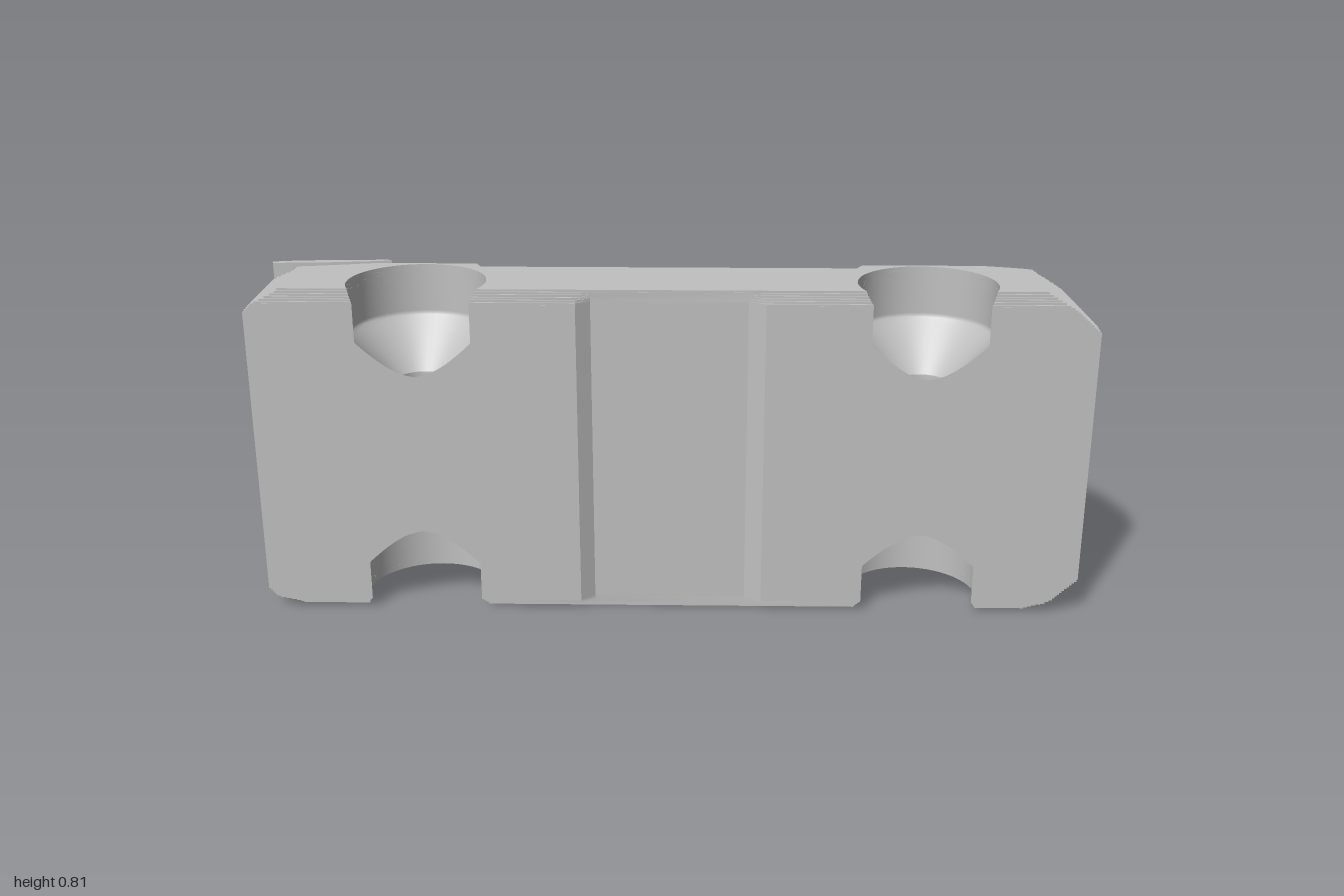
import * as THREE from 'three';
import { toCreasedNormals } from 'three/addons/utils/BufferGeometryUtils.js';

// The car lies on its side: length along x (nose +x), roof towards -z, width along y.
const HALF = 0.403, BASE = 0.193, WELL_X = 0.6, WELL_Z = 0.1;

const lerpTable = (t, table) => {
  if (t <= table[0][0]) return table[0][1];
  for (let i = 1; i < table.length; i++) {
    const [a, va] = table[i - 1], [b, vb] = table[i];
    if (t <= b) return va + (vb - va) * (t - a) / (b - a);
  }
  return table[table.length - 1][1];
};

// Side profile (x, height), from the tail's lower edge over the roof to the nose's lower edge
const sections = [
  [[-0.99, -BASE], [-0.985, -0.14], [-1, -0.07], [-1, 0]],
  [[-1, 0], [-0.975, 0.03], [-0.9, 0.037], [-0.8, 0.056], [-0.705, 0.078], [-0.61, 0.096], [-0.545, 0.089], [-0.48, 0.07]],
  [[-0.48, 0.07], [-0.395, 0.092], [-0.26, 0.157], [-0.155, 0.185], [0, 0.193], [0.14, 0.187], [0.27, 0.148], [0.38, 0.098], [0.46, 0.068]],
  [[0.46, 0.068], [0.54, 0.089], [0.6, 0.096], [0.685, 0.086], [0.78, 0.066], [0.89, 0.032], [0.95, -0.02], [0.985, -0.07], [1, -0.115]],
  [[1, -0.115], [0.994, -0.145], [0.99, -BASE]],
];
const profile = [];
sections.forEach((s, i) => {
  const pts = new THREE.SplineCurve(s.map(p => new THREE.Vector2(...p))).getPoints([5, 24, 32, 28, 4][i]);
  profile.push(...(i ? pts.slice(1) : pts));
});

// Limits of the body at distance a from the centre plane
const noseLimit = a => lerpTable(a, [[0.303, 1], [0.367, 0.93], [0.394, 0.88], [HALF, 0.865]]);
const tailLimit = a => -lerpTable(a, [[0.34, 1], [0.372, 0.97], [0.394, 0.92], [HALF, 0.91]]);
const bottom = a => -BASE + Math.max(0, a - 0.375);
const wellRadius = w => Math.max(0.06, 0.164 - Math.max(0, 0.28 - Math.abs(w)) * 0.87);
function cap(x, a) {
  if (x > -0.48 && x < 0.46) return 0.443 - a;
  const floor = x > 0
    ? lerpTable(x, [[0.46, 0.068], [0.99, -0.09]])
    : lerpTable(x, [[-0.97, 0.03], [-0.48, 0.07]]);
  return Math.min(0.473 - a, Math.max(floor, a - 0.125));
}

// One cross-section at width w, shaped as for distance a
function section(w, a) {
  const y = w + HALF, low = bottom(a), at = (x, v) => new THREE.Vector3(x, y, -v);
  const top = profile.map(p => at(
    THREE.MathUtils.clamp(p.x, tailLimit(a), noseLimit(a)),
    Math.max(low, Math.min(p.y, cap(p.x, a)))));
  const r = wellRadius(w), d = -low - WELL_Z;
  const h = r > d ? Math.sqrt(r * r - d * d) : 0;
  const sweep = r > d ? Math.acos(-d / r) : Math.PI;
  const wells = [-WELL_X, WELL_X].map(cx => Array.from({ length: 41 }, (_, i) => {
    const t = sweep * (i / 20 - 1);
    return at(cx + r * Math.sin(t), -WELL_Z + r * Math.cos(t));
  }));
  const dip = Math.max(low, -0.168);
  const bottoms = [
    [top[0], at(-WELL_X - h, low)],
    [at(-WELL_X + h, low), at(-0.22, low), at(-0.187, dip), at(0.18, dip), at(0.22, low), at(WELL_X - h, low)],
    [at(WELL_X + h, low), top[top.length - 1]],
  ];
  return { top, wells, bottoms };
}

function makeGeometry(triangles) {
  const pos = [], n = new THREE.Vector3(), e = new THREE.Vector3();
  for (const [a, b, c] of triangles) {
    n.subVectors(b, a).cross(e.subVectors(c, a));
    if (n.length() > 1e-9) for (const p of [a, b, c]) pos.push(p.x, p.y, p.z);
  }
  const g = new THREE.BufferGeometry();
  g.setAttribute('position', new THREE.Float32BufferAttribute(pos, 3));
  return toCreasedNormals(g, 0.5);
}

// Skin between successive rows of points
function skin(rows, flip = false) {
  const tris = [];
  for (let i = 0; i + 1 < rows.length; i++) for (let j = 0; j + 1 < rows[i].length; j++) {
    const a = rows[i][j], b = rows[i][j + 1], c = rows[i + 1][j + 1], d = rows[i + 1][j];
    tris.push(...(flip ? [[a, c, b], [a, d, c]] : [[a, b, c], [a, c, d]]));
  }
  return tris;
}

// Flat side face closing the body at one end of its width
function sideFace(s, side) {
  const outline = [...s.top];
  for (const run of [s.bottoms[2], s.wells[1], s.bottoms[1], s.wells[0], s.bottoms[0]]) outline.push(...[...run].reverse());
  const pts = outline.filter((p, i) => p.distanceTo(outline[(i + 1) % outline.length]) > 1e-5);
  const flat = pts.map(p => new THREE.Vector2(p.x, p.z));
  return THREE.ShapeUtils.triangulateShape(flat, []).map(([i, j, k]) => {
    const [a, b, c] = [pts[i], pts[j], pts[k]];
    const up = (b.z - a.z) * (c.x - a.x) - (b.x - a.x) * (c.z - a.z);
    return up * side > 0 ? [a, b, c] : [a, c, b];
  });
}

// Slab with a side outline (x, height), spanning width y0 to y1
function slab(points, y0, y1) {
  const shape = new THREE.Shape(points.map(p => new THREE.Vector2(...p)));
  const g = new THREE.ExtrudeGeometry(shape, { depth: y1 - y0, bevelEnabled: false });
  g.rotateX(-Math.PI / 2).translate(0, y0, 0);
  return g;
}

export function createModel() {
  const model = new THREE.Group();
  model.name = 'carBody';
  const grey = new THREE.MeshStandardMaterial({ color: 0xc0c0c0 });
  grey.name = 'bodyGrey';
  const add = (name, geometry) => {
    const mesh = new THREE.Mesh(geometry, grey);
    mesh.name = name;
    model.add(mesh);
  };

  // Thin stepped layers across the width
  const half = Array.from({ length: 74 }, (_, i) => 0.035 + (HALF - 0.035) * i / 73);
  const edges = [...half.map(w => -w).reverse(), ...half];
  const rows = [];
  for (let i = 0; i + 1 < edges.length; i++) {
    const a = Math.max(0.035, Math.abs(edges[i] + edges[i + 1]) / 2);
    rows.push(section(edges[i], a), section(edges[i + 1], a));
  }
  add('upperShell', makeGeometry(skin(rows.map(r => r.top), true)));
  add('underside', makeGeometry([0, 1, 2].flatMap(k => skin(rows.map(r => r.bottoms[k])))));
  add('rearWheelWells', makeGeometry(skin(rows.map(r => r.wells[0]))));
  add('frontWheelWells', makeGeometry(skin(rows.map(r => r.wells[1]))));
  add('rightSide', makeGeometry(sideFace(rows[0], -1)));
  add('leftSide', makeGeometry(sideFace(rows[rows.length - 1], 1)));

  // Rear wing on two pairs of struts
  add('rearWing', toCreasedNormals(slab([[-1, 0.132], [-0.995, 0.12], [-0.88, 0.125], [-0.76, 0.14],
    [-0.705, 0.15], [-0.715, 0.157], [-0.85, 0.153], [-0.97, 0.14]], 0.012, 0.793), 0.4));
  for (const w of [-0.25, 0.25]) {
    const y0 = HALF + w - 0.018, y1 = HALF + w + 0.018;
    add('rearWingStrut', slab([[-0.92, 0.015], [-0.89, 0.015], [-0.87, 0.13], [-0.9, 0.13]], y0, y1));
    add('frontWingStrut', slab([[-0.79, 0.03], [-0.76, 0.03], [-0.742, 0.148], [-0.772, 0.145]], y0, y1));
  }
  return model;
}
